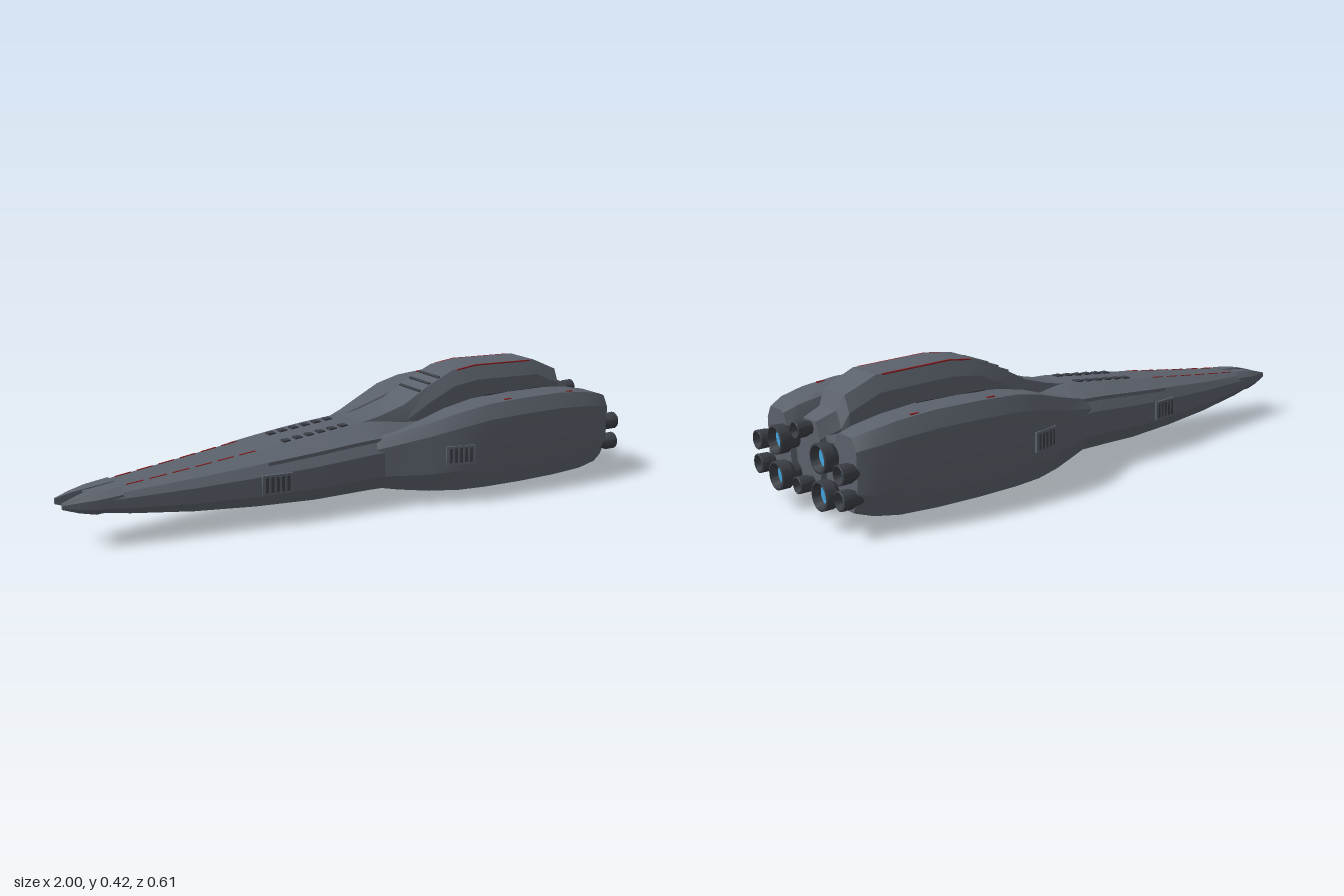
import * as THREE from 'three';
import { toCreasedNormals } from 'three/addons/utils/BufferGeometryUtils.js';

const paint = (name, color) => {
  const m = new THREE.MeshStandardMaterial({ color });
  m.name = name;
  return m;
};

// Skin a list of { x, ring } sections; rings run top, +z, bottom, -z as [z, y]
function loft(sections) {
  const pos = [];
  const put = (...pts) => pts.forEach((p) => pos.push(...p));
  const rings = sections.map(({ x, ring }) => ring.map(([z, y]) => [x, y, z]));
  const n = rings[0].length;
  for (let j = 0; j < rings.length - 1; j++) {
    for (let i = 0; i < n; i++) {
      const k = (i + 1) % n, a = rings[j], b = rings[j + 1];
      put(a[i], a[k], b[i], a[k], b[k], b[i]);
    }
  }
  const cap = (ring, atEnd) => {
    const c = [0, 1, 2].map((q) => ring.reduce((s, p) => s + p[q], 0) / n);
    for (let i = 0; i < n; i++) {
      const p = ring[i], q = ring[(i + 1) % n];
      if (atEnd) put(c, p, q); else put(c, q, p);
    }
  };
  cap(rings[0], false);
  cap(rings[rings.length - 1], true);
  const g = new THREE.BufferGeometry();
  g.setAttribute('position', new THREE.Float32BufferAttribute(pos, 3));
  return toCreasedNormals(g, 0.35);
}

// Complete a +z half profile with its mirror image
const mirrored = (half) => [...half, ...half.map(([z, y]) => [-z, y]).reverse()];
// Move a ring to the +z or -z side
const onSide = (ring, s) => (s > 0 ? ring : ring.map(([z, y]) => [-z, y]).reverse());
// Look up a row of a table at any x
function at(table, x) {
  let i = 1;
  while (i < table.length - 1 && table[i][0] < x) i++;
  const a = table[i - 1], b = table[i], f = (x - a[0]) / (b[0] - a[0]);
  return a.map((v, q) => v + (b[q] - v) * f);
}

// x, top, bottom, half width
const HULL = [
  [-0.92, 0.168, 0.11, 0.06], [-0.8, 0.182, 0.09, 0.085], [-0.6, 0.203, 0.066, 0.118],
  [-0.4, 0.226, 0.052, 0.15], [-0.2, 0.248, 0.045, 0.178], [0, 0.267, 0.046, 0.19],
  [0.06, 0.268, 0.045, 0.193], [0.15, 0.258, 0.032, 0.165], [0.3, 0.255, 0.025, 0.15],
  [0.85, 0.255, 0.025, 0.15], [0.93, 0.25, 0.055, 0.14],
];
const flat = (w) => 0.027 + 0.28 * w;
// x, top, half width of the top, half width of the sides, bottom
const RIDGE = [
  [0.0, 0.262, 0.06, 0.07, 0.15], [0.1, 0.28, 0.063, 0.076, 0.15], [0.2, 0.308, 0.065, 0.082, 0.15],
  [0.3, 0.362, 0.065, 0.087, 0.15], [0.4, 0.405, 0.065, 0.088, 0.15], [0.5, 0.416, 0.065, 0.088, 0.15],
  [0.76, 0.406, 0.065, 0.088, 0.15], [0.865, 0.36, 0.06, 0.084, 0.1], [0.885, 0.315, 0.045, 0.07, 0.08],
  [0.948, 0.29, 0.035, 0.055, 0.07],
];
// x, top, bottom, outer z
const POD = [
  [0.02, 0.232, 0.07, 0.185], [0.1, 0.252, 0.056, 0.21], [0.2, 0.28, 0.045, 0.247],
  [0.3, 0.31, 0.041, 0.28], [0.4, 0.328, 0.04, 0.295], [0.55, 0.335, 0.04, 0.304],
  [0.7, 0.333, 0.04, 0.302], [0.82, 0.32, 0.042, 0.293], [0.9, 0.303, 0.052, 0.28],
  [0.95, 0.285, 0.065, 0.256],
];

export function createModel() {
  const ship = new THREE.Group();
  ship.name = 'starship';
  const grey = paint('hull grey', 0x5b616b);
  const dark = paint('trim grey', 0x3b3f46);
  const red = paint('stripe red', 0x8e1f22);
  const blue = paint('engine glow blue', 0x42a4de);

  const add = (name, geo, mat, parent = ship) => {
    const m = new THREE.Mesh(geo, mat);
    m.name = name;
    parent.add(m);
    return m;
  };
  const box = (name, mat, size, p) => {
    const m = add(name, new THREE.BoxGeometry(...size), mat);
    m.position.set(...p);
    return m;
  };
  // Thin strip running between two points
  const strip = (name, mat, a, b, wide, thick) => {
    const p = new THREE.Vector3(...a), q = new THREE.Vector3(...b);
    const m = box(name, mat, [p.distanceTo(q), thick, wide], p.clone().lerp(q, 0.5).toArray());
    m.quaternion.setFromUnitVectors(new THREE.Vector3(1, 0, 0), q.sub(p).normalize());
    return m;
  };

  // Main hull, from the nose to the stern
  add('mainHull', loft(HULL.map(([x, t, b, w]) => {
    const h = t - b;
    return { x, ring: mirrored([[flat(w), t], [w * 0.86, t - 0.14 * h], [w, t - 0.34 * h],
      [w, b + 0.3 * h], [w * 0.84, b + 0.08 * h], [w * 0.5, b]]) };
  })), grey);

  // Raised dorsal ridge ending in the tail plate
  add('dorsalRidge', loft(RIDGE.map(([x, t, wt, wm, b]) => (
    { x, ring: mirrored([[wt, t], [wm, t - 0.05], [wm, t - 0.1], [wm * 0.85, b]]) }))), grey);

  // Ventral keel
  add('keel', loft([[-0.02, 0.043, 0.04], [0.15, 0.026, 0.06], [0.3, 0.008, 0.075], [0.55, 0, 0.078],
    [0.75, 0.003, 0.075], [0.86, 0.014, 0.07], [0.93, 0.045, 0.06]].map(([x, b, w]) => (
    { x, ring: mirrored([[w, 0.1], [w, b + 0.03], [w * 0.7, b + 0.006], [w * 0.4, b]]) }))), grey);
  for (let i = 0; i < 4; i++) box('bellySlat', dark, [0.012, 0.01, 0.09], [-0.3 + i * 0.05, 0.047, 0]);

  for (const s of [1, -1]) {
    // Twin nose prong
    add('noseProng', loft([[-1, 0.132, 0.15, 0.029, 0.039], [-0.95, 0.115, 0.164, 0.02, 0.053],
      [-0.9, 0.104, 0.174, 0.008, 0.068], [-0.82, 0.11, 0.182, 0.008, 0.078]].map(([x, b, t, zi, zo]) => {
      const c = (t - b) * 0.28, d = (zo - zi) * 0.3;
      return { x, ring: onSide([[zi, t], [zo - d, t], [zo, t - c], [zo, b + c], [zo - d, b], [zi, b]], s) };
    })), grey);

    // Flank pod
    add('flankPod', loft(POD.map(([x, t, b, zo]) => {
      const h = t - b, zi = Math.min(0.155, zo - 0.06);
      return { x, ring: onSide([[zi - 0.028, t - 0.28 * h], [zi, t - 0.03 * h], [zi + 0.02, t], [zo - 0.022, t],
        [zo, t - 0.17 * h], [zo, b + 0.27 * h], [zo - 0.025, b], [0.11, b]], s) };
    })), grey);

    // Hull edge rail above the flank
    for (let x = -0.36; x < 0.05; x += 0.1) {
      const rail = (px) => { const [, t, b, w] = at(HULL, px); return [px, t - 0.16 * (t - b), s * w * 0.87]; };
      strip('hullRail', grey, rail(x), rail(x + 0.1), 0.012, 0.012);
    }

    // Red dashes along the nose and the ridge
    for (let x = -0.8; x < -0.37; x += 0.075) {
      const spot = (px) => { const [, t, , w] = at(HULL, px); return [px, t, s * (flat(w) - 0.003)]; };
      strip('noseStripe', red, spot(x), spot(x + 0.055), 0.005, 0.004);
    }
    for (const [x0, x1] of [[0.42, 0.5], [0.5, 0.62], [0.62, 0.74]]) {
      const spot = (x) => { const r = at(RIDGE, x); return [x, r[1] - 0.002, s * (r[2] + 0.001)]; };
      strip('ridgeStripe', red, spot(x0), spot(x1), 0.006, 0.004);
    }
    for (const x of [0.49, 0.76]) {
      box('podMarker', red, [0.028, 0.004, 0.006], [x, at(POD, x)[1] + 0.001, s * 0.262]);
    }

    // Row of deck hatches on the fore hull
    for (let i = 0; i < 6; i++) {
      const x = -0.25 + i * 0.043;
      box('deckHatch', dark, [0.026, 0.008, 0.026], [x, at(HULL, x)[1] + 0.001, s * 0.052]);
    }

    // Slatted side vents
    for (const [x, y, table, col] of [[-0.34, 0.14, HULL, 3], [0.29, 0.17, POD, 3]]) {
      const a = at(table, x - 0.05), b = at(table, x + 0.05);
      const frame = strip('sideVent', grey, [x - 0.05, y, s * a[col]], [x + 0.05, y, s * b[col]], 0.014, 0.065);
      for (let i = 0; i < 5; i++) {
        const slat = add('ventSlat', new THREE.BoxGeometry(0.01, 0.05, 0.018), dark, frame);
        slat.position.x = -0.036 + i * 0.018;
      }
    }
    // Long panel seam on the pod flank
    strip('podSeam', dark, [0.45, 0.334, s * 0.18], [0.7, 0.334, s * 0.18], 0.004, 0.004);
  }

  // Cross bars on the slope of the ridge
  for (const x of [0.27, 0.31, 0.35]) {
    const bar = box('ridgeBar', dark, [0.009, 0.009, 0.12], [x, at(RIDGE, x)[1], 0]);
    bar.rotation.z = 0.45;
  }

  // Engines: open cup with a glowing disc inside
  const engine = (y, z, r, glow, start) => {
    const g = new THREE.Group();
    g.name = 'engine';
    g.position.set(0, y, z);
    g.rotation.z = -Math.PI / 2;
    const profile = [[0, start], [r * 0.72, start], [r * 0.78, 0.952], [r * 0.98, 0.965], [r, 0.998],
      [r * 0.86, 1], [glow, 0.972], [0, 0.972]].map(([a, b]) => new THREE.Vector2(a, b));
    const cup = new THREE.LatheGeometry(profile, 28);
    add('nozzle', toCreasedNormals(cup, 0.5), dark, g);
    const disc = add('engineGlow', new THREE.CircleGeometry(glow, 28), blue, g);
    disc.rotation.x = -Math.PI / 2;
    disc.position.y = 0.976;
    ship.add(g);
  };
  for (const s of [1, -1]) {
    for (const y of [0.21, 0.099]) engine(y, s * 0.127, 0.045, 0.031, 0.9);
    for (const y of [0.187, 0.112]) engine(y, s * 0.237, 0.03, 0.02, 0.93);
  }
  for (const y of [0.267, 0.1]) engine(y, 0, 0.026, 0.017, 0.92);

  return ship;
}
